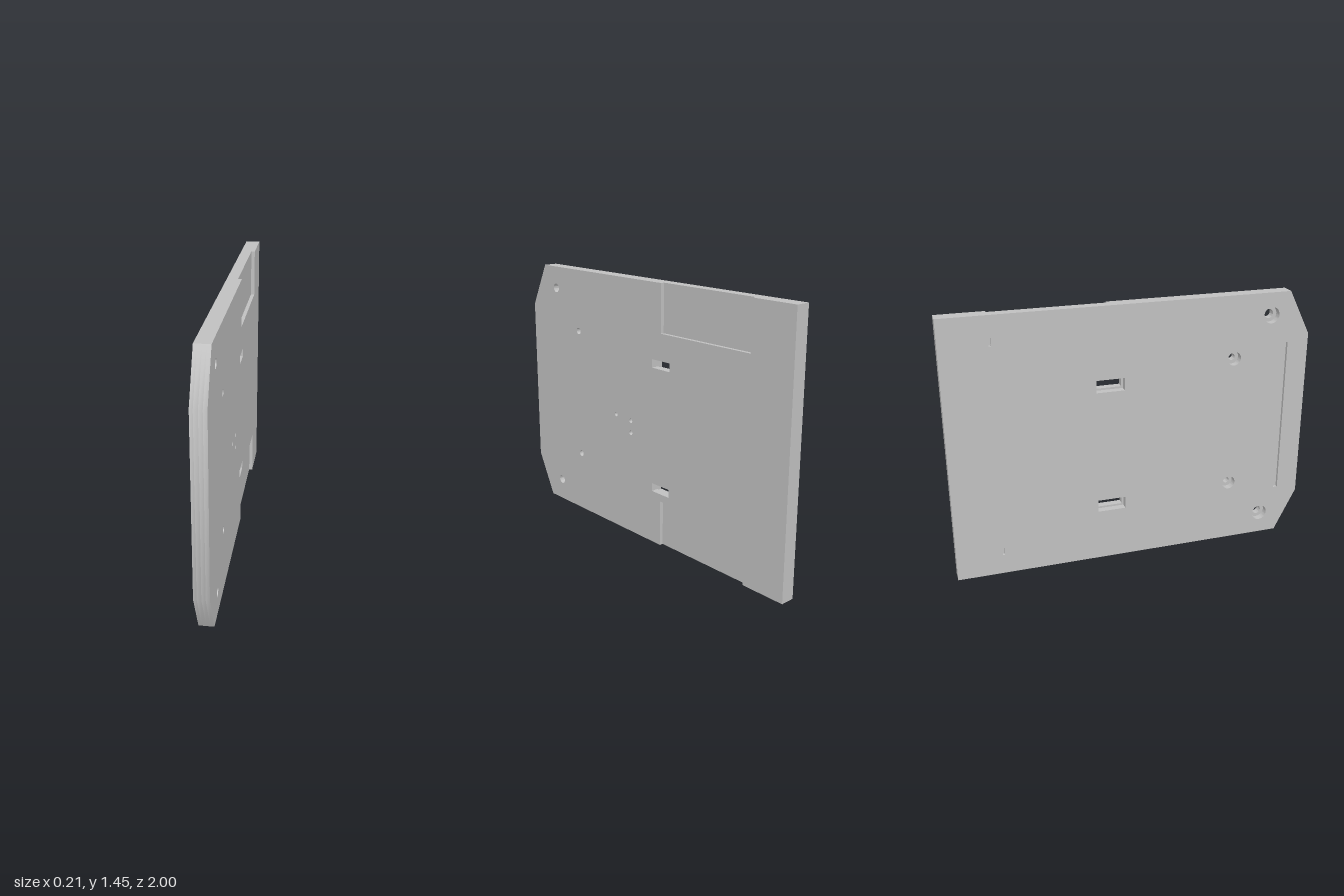
import * as THREE from 'three';
import { toCreasedNormals } from 'three/addons/utils/BufferGeometryUtils.js';

const H = 1.45, T = 0.079; // plate height and thickness

// Outline in (length, height); optional notches form the two edge pockets
function outline(notched) {
  const p = [[-1, 0]];
  if (notched) p.push([-0.745, 0], [-0.745, 0.26], [-0.132, 0.26], [-0.132, 0]);
  p.push([0.877, 0], [1, 0.245], [1, H - 0.245], [0.877, H]);
  if (notched) p.push([-0.132, H], [-0.132, H - 0.26], [-0.745, H - 0.26], [-0.745, H]);
  p.push([-1, H]);
  return new THREE.Shape(p.map(([u, v]) => new THREE.Vector2(u, v)));
}

function circle(u, v, r) {
  return new THREE.Path().absarc(u, v, r, 0, Math.PI * 2, true);
}

function rect(u, v, w, h) {
  return new THREE.Path([[-1, -1], [-1, 1], [1, 1], [1, -1]]
    .map(([a, b]) => new THREE.Vector2(u + a * w / 2, v + b * h / 2)));
}

// Screw holes and cable slots; the far side is wider
function fixings(wide) {
  const holes = [];
  for (const v of [0.127, 1.325]) holes.push(circle(0.772, v, wide ? 0.045 : 0.025));
  for (const v of [0.355, 1.1]) holes.push(circle(0.565, v, wide ? 0.038 : 0.018));
  for (const v of [0.325, 1.022]) {
    holes.push(wide ? rect(-0.132, v, 0.155, 0.068) : rect(-0.132, v, 0.135, 0.046));
  }
  return holes;
}

export function createModel() {
  const model = new THREE.Group();
  model.name = 'mountingPlate';
  const plateGrey = new THREE.MeshStandardMaterial({ color: 0xc0c0c0 });
  plateGrey.name = 'plateGrey';

  // Shallow blind holes on the pocket side
  const blindHoles = [[0.235, 0.675], [0.11, 0.665], [0.11, 0.595]]
    .map(([u, v]) => circle(u, v, 0.0125));
  // Long groove and two short slits on the opposite side
  const grooves = [rect(0.866, H / 2, 0.024, 0.885),
    rect(-0.745, 0.135, 0.012, 0.045), rect(-0.745, 1.315, 0.012, 0.045)];

  // Stacked slices: name, start depth, end depth, notched, holes
  const slices = [
    ['pocketFace', 0, 0.02, true, [...fixings(false), ...blindHoles]],
    ['innerCore', 0.02, 0.04, false, fixings(false)],
    ['counterboreCore', 0.04, 0.062, false, fixings(true)],
    ['grooveFace', 0.062, T, false, [...fixings(true), ...grooves]],
  ];
  for (const [name, from, to, notched, holes] of slices) {
    const shape = outline(notched);
    shape.holes.push(...holes);
    const geo = new THREE.ExtrudeGeometry(shape,
      { depth: to - from, bevelEnabled: false, curveSegments: 20 });
    geo.translate(0, 0, from - T / 2);
    geo.rotateY(-Math.PI / 2 - 0.068); // length runs along z, slightly turned
    const mesh = new THREE.Mesh(toCreasedNormals(geo, 0.5), plateGrey);
    mesh.name = name;
    model.add(mesh);
  }
  return model;
}
